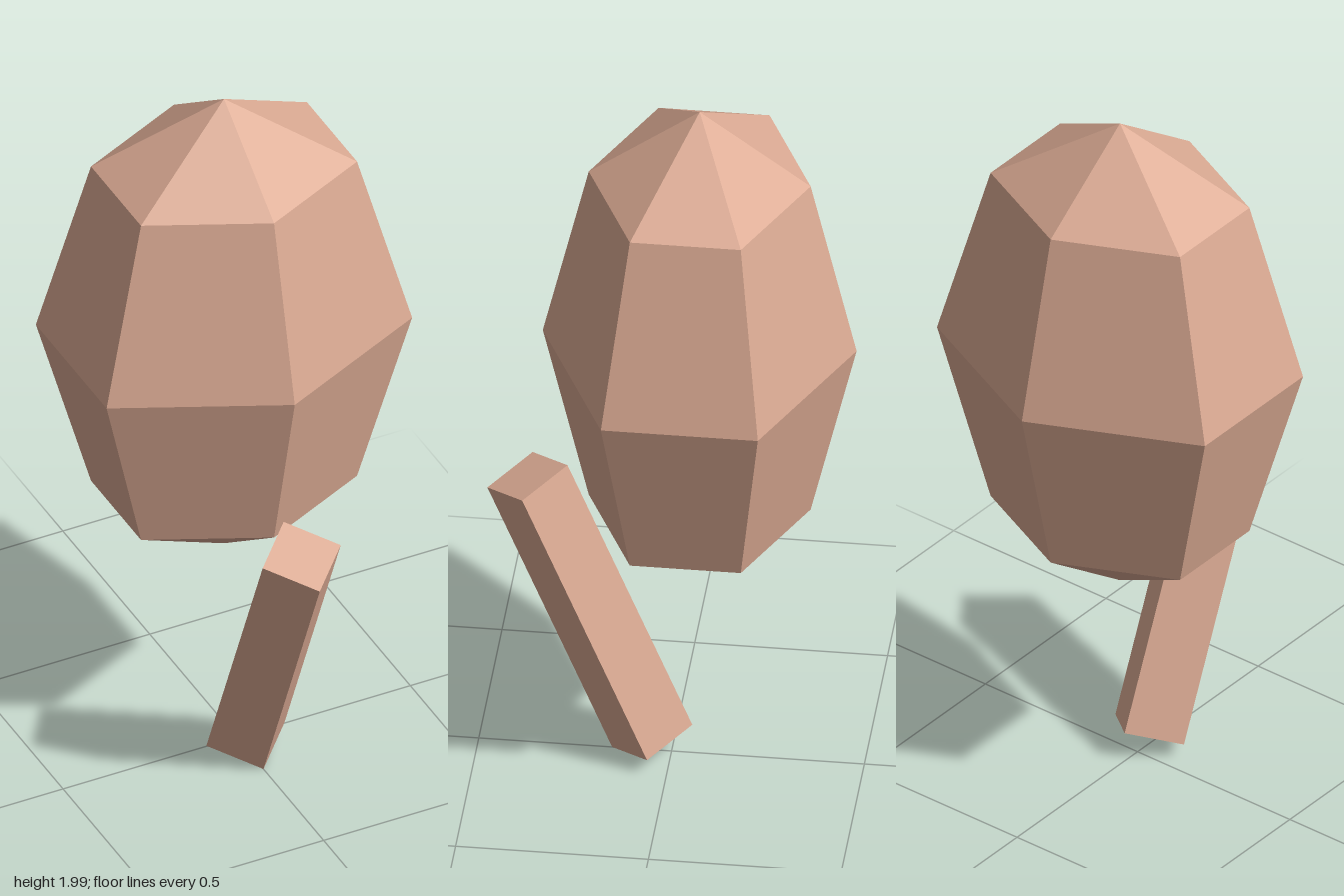
import * as THREE from 'three';

export function createModel() {
  const group = new THREE.Group();
  const material = new THREE.MeshStandardMaterial({ color: 0xdcab94, flatShading: true });

  // Faceted six-sided head, taller than wide and flattened front to back
  const head = new THREE.Mesh(
    new THREE.SphereGeometry(1, 6, 4, Math.PI / 2).scale(0.508, 0.711, 0.407), material);
  head.name = 'head';
  head.position.set(0, 1.289, -0.073);
  group.add(head);

  // Square bar, edge forward, its top leaning to the front
  const bar = new THREE.Mesh(new THREE.CylinderGeometry(0.1125, 0.1125, 0.846, 4), material);
  bar.name = 'leaningBar';
  bar.position.set(0, 0.439, 0.212);
  bar.rotation.x = Math.PI / 8;
  group.add(bar);

  return group;
}
